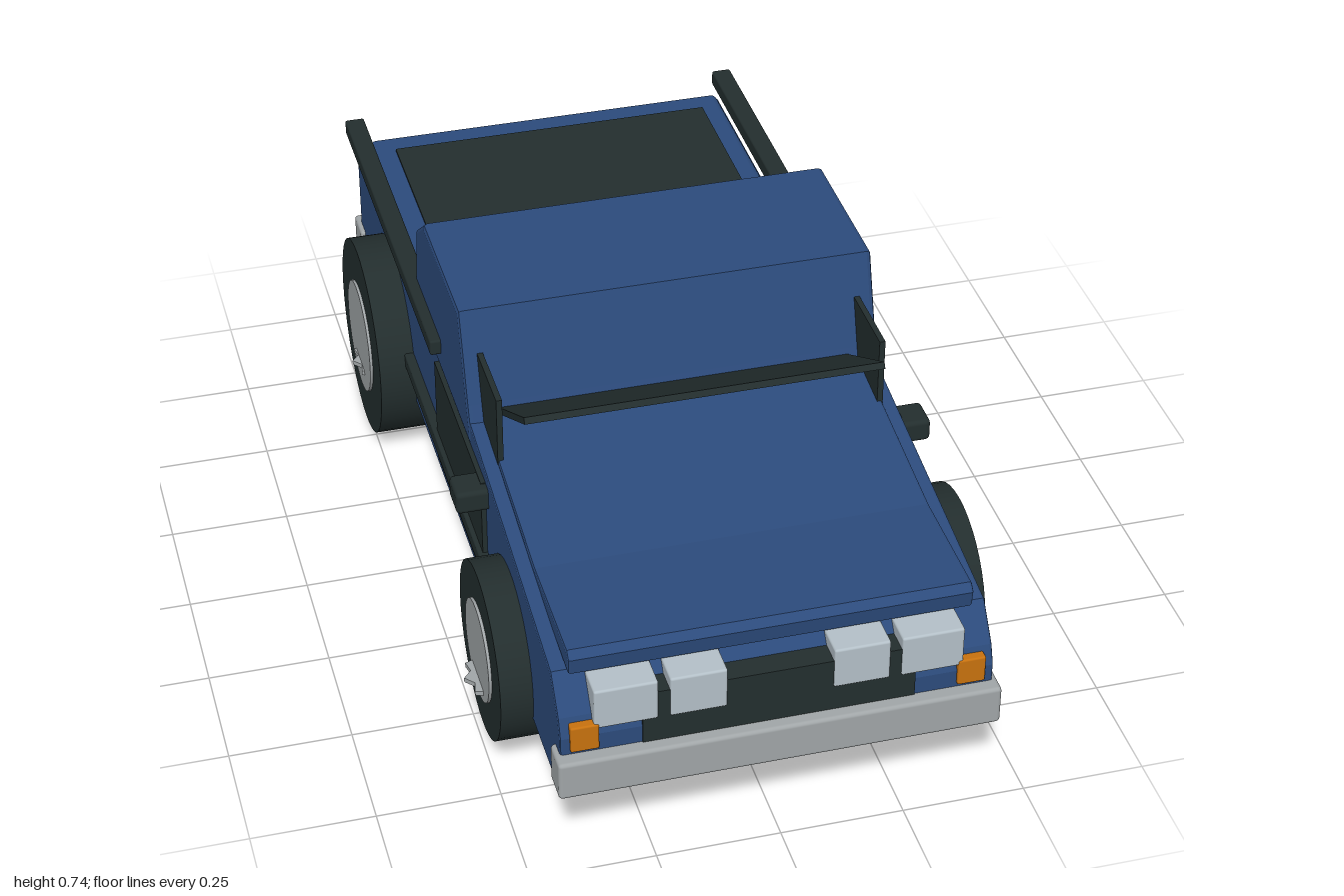
import * as THREE from 'three';
import { RoundedBoxGeometry } from 'three/addons/geometries/RoundedBoxGeometry.js';

const mat = (name, color) => {
  const m = new THREE.MeshStandardMaterial({ color });
  m.name = name;
  return m;
};

export function createModel() {
  const blue = mat('body blue', 0x2c4b7c);
  const dark = mat('dark trim', 0x232e2e);
  const grey = mat('metal grey', 0xa1a6a8);
  const lamp = mat('headlight glass', 0xb4c0c8);
  const orange = mat('indicator orange', 0xc8720f);

  const model = new THREE.Group();
  model.name = 'pickupTruck';

  const add = (name, geometry, material, parent = model) => {
    const mesh = new THREE.Mesh(geometry, material);
    mesh.name = name;
    parent.add(mesh);
    return mesh;
  };

  // Box given by its lower and upper limits on each axis, optionally rounded
  const box = (name, material, [x0, x1], [y0, y1], [z0, z1], radius = 0) => {
    const size = [x1 - x0, y1 - y0, z1 - z0];
    const g = radius ? new RoundedBoxGeometry(...size, 2, radius) : new THREE.BoxGeometry(...size);
    const mesh = add(name, g, material);
    mesh.position.set((x0 + x1) / 2, (y0 + y1) / 2, (z0 + z1) / 2);
    return mesh;
  };
  // The same box on both sides of the truck
  const pair = (name, material, [x0, x1], y, z, radius = 0) => {
    box(name + 'Left', material, [x0, x1], y, z, radius);
    box(name + 'Right', material, [-x1, -x0], y, z, radius);
  };

  // Side profile of [z, y] points, extruded across the full width
  const profile = (name, material, points, halfWidth, bevel = 0.006) => {
    const shape = new THREE.Shape(points.map(([z, y]) => new THREE.Vector2(z, y)));
    const depth = 2 * (halfWidth - bevel);
    const g = new THREE.ExtrudeGeometry(shape, {
      depth, bevelEnabled: true, bevelThickness: bevel, bevelSize: bevel,
      bevelOffset: -bevel, bevelSegments: 2,
    });
    g.translate(0, 0, -depth / 2).rotateY(-Math.PI / 2);
    return add(name, g, material);
  };

  // Lower body with sloping nose and bonnet line
  profile('lowerBody', blue, [
    [-0.97, 0.17], [0.97, 0.17], [0.97, 0.31], [0.955, 0.35], [0.9, 0.42],
    [0.22, 0.52], [-0.29, 0.52], [-0.3, 0.47], [-0.97, 0.47],
  ], 0.43);
  profile('bonnetPanel', blue, [
    [0.915, 0.42], [0.92, 0.455], [0.905, 0.47], [0.65, 0.47], [0.2, 0.532], [0.2, 0.48],
  ], 0.4);

  // Cab shell
  profile('cab', blue, [
    [0.23, 0.5], [0.21, 0.555], [0.15, 0.745], [-0.185, 0.745],
    [-0.27, 0.68], [-0.305, 0.47], [0.23, 0.47],
  ], 0.432, 0.01);

  // Load bed with dark cover, side rails and tailgate trim
  box('bedTop', blue, [-0.41, 0.41], [0.45, 0.515], [-0.925, -0.28], 0.015);
  box('bedCover', dark, [-0.36, 0.36], [0.512, 0.52], [-0.86, -0.29]);
  pair('bedRail', dark, [0.412, 0.455], [0.515, 0.55], [-0.965, -0.04], 0.005);
  box('tailgateSlot', blue, [-0.28, 0.28], [0.465, 0.476], [-0.95, -0.94]);
  box('tailgateHandle', dark, [-0.06, 0.06], [0.468, 0.478], [-0.951, -0.941]);

  // Tilted windscreen panel and upright side panes
  const screen = box('windscreenPanel', dark, [-0.367, 0.367], [0.593, 0.607], [0.19, 0.47]);
  screen.position.z = 0.325;
  screen.rotation.x = -Math.atan2(0.14, 0.24);
  pair('sidePane', dark, [0.389, 0.401], [0.5, 0.657], [0.17, 0.348]);

  // Doors, belt strips and mirrors
  pair('door', dark, [0.42, 0.44], [0.225, 0.472], [-0.08, 0.36]);
  pair('beltStrip', dark, [0.42, 0.45], [0.265, 0.298], [-0.82, 0.38], 0.004);
  pair('mirror', dark, [0.42, 0.495], [0.42, 0.47], [0.312, 0.385], 0.01);

  // Bumpers
  box('frontBumper', grey, [-0.44, 0.44], [0.187, 0.272], [0.93, 1], 0.008);
  box('rearBumper', grey, [-0.44, 0.44], [0.187, 0.272], [-1, -0.92], 0.008);

  // Grille and lights
  box('grille', dark, [-0.27, 0.27], [0.25, 0.39], [0.9, 0.973]);
  pair('outerHeadlight', lamp, [0.24, 0.365], [0.327, 0.417], [0.9, 0.976], 0.005);
  pair('innerHeadlight', lamp, [0.105, 0.217], [0.327, 0.417], [0.9, 0.976], 0.005);
  pair('indicator', orange, [0.355, 0.411], [0.28, 0.339], [0.92, 0.978], 0.004);

  // Flat toothed disc lying inside each hub
  const toothed = new THREE.Shape();
  const teeth = 12;
  for (let i = 0; i < teeth * 2; i++) {
    const a = (i / (teeth * 2)) * Math.PI * 2;
    const r = i % 2 ? 0.076 : 0.091;
    toothed[i ? 'lineTo' : 'moveTo'](Math.cos(a) * r, Math.sin(a) * r);
  }
  const toothedDisc = new THREE.ExtrudeGeometry(toothed, { depth: 0.01, bevelEnabled: false });
  toothedDisc.rotateX(-Math.PI / 2);

  // Wheels: tyre, hub and toothed disc
  const wheel = (name, side, z, radius, hubRadius, x0, x1) => {
    const group = new THREE.Group();
    group.name = name;
    group.position.set(side * (x0 + x1) / 2, 0.222, z);
    model.add(group);
    const w = x1 - x0;
    const c = 0.008;
    const tyre = new THREE.CylinderGeometry(radius, radius, w - c, 40).rotateZ(Math.PI / 2);
    add('tyre', tyre, dark, group);
    const hub = new THREE.CylinderGeometry(hubRadius, hubRadius, w + 0.004, 32).rotateZ(Math.PI / 2);
    add('hub', hub, grey, group);
    add('hubTeeth', toothedDisc, grey, group).position.y = -0.075;
  };
  for (const side of [1, -1]) {
    const label = side > 0 ? 'Left' : 'Right';
    wheel('frontWheel' + label, side, 0.567, 0.183, 0.106, 0.377, 0.499);
    wheel('rearWheel' + label, side, -0.578, 0.22, 0.126, 0.37, 0.512);
  }

  return model;
}
